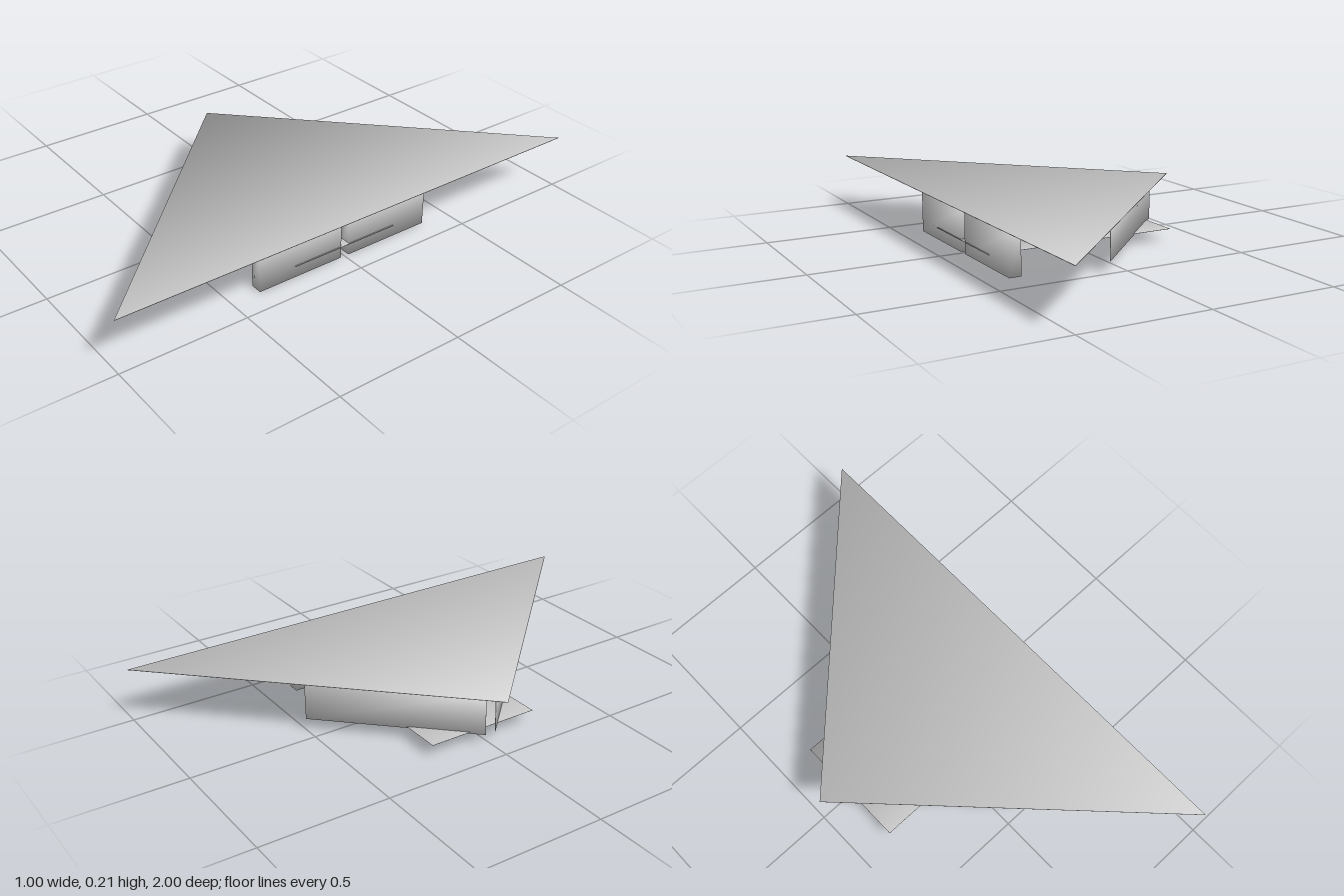
import * as THREE from 'three';

const grey = new THREE.MeshStandardMaterial({ color: 0xcccccc });
grey.name = 'light grey';

// Soft corners: each corner's normal is the average of its distinct face normals
function softCorners(geometry) {
  const g = geometry.index ? geometry.toNonIndexed() : geometry;
  g.computeVertexNormals();
  const pos = g.attributes.position, nor = g.attributes.normal;
  const corners = new Map(), keys = [];
  for (let i = 0; i < pos.count; i++) {
    const key = [pos.getX(i), pos.getY(i), pos.getZ(i)].map(v => Math.round(v * 1e5)).join();
    const n = new THREE.Vector3().fromBufferAttribute(nor, i);
    if (!corners.has(key)) corners.set(key, []);
    const list = corners.get(key);
    if (!list.some(m => m.dot(n) > 0.99)) list.push(n);
    keys.push(key);
  }
  keys.forEach((key, i) => {
    const sum = new THREE.Vector3();
    corners.get(key).forEach(n => sum.add(n));
    sum.normalize();
    nor.setXYZ(i, sum.x, sum.y, sum.z);
  });
  return g;
}

function add(parent, name, geometry, x, y, z, turn = 0) {
  const mesh = new THREE.Mesh(geometry, grey);
  mesh.name = name;
  mesh.position.set(x, y, z);
  mesh.rotation.y = turn;
  parent.add(mesh);
  return mesh;
}

const softBox = (w, h, d) => softCorners(new THREE.BoxGeometry(w, h, d));

export function createModel() {
  const model = new THREE.Group();
  model.name = 'pavilion';

  // Triangular roof slab
  const outline = new THREE.Shape([
    new THREE.Vector2(-0.5, 0), new THREE.Vector2(0.5, -1), new THREE.Vector2(0.5, 1),
  ]);
  const roof = new THREE.ExtrudeGeometry(outline, { depth: 0.002, bevelEnabled: false });
  roof.rotateX(-Math.PI / 2);
  add(model, 'roof', softCorners(roof), 0, 0.211, 0);

  // Thin floor
  add(model, 'floor', softBox(0.775, 0.001, 0.456), 0.022, 0.048, 0);

  for (const side of [1, -1]) {
    const label = side > 0 ? 'front' : 'back';
    // Diagonal wall set in from the slanted roof edge
    add(model, label + 'Wall', softBox(0.672, 0.155, 0.002),
      -0.167, 0.12, side * 0.259, -side * Math.PI / 4);
    // Thick end block on the ground
    add(model, label + 'Block', softBox(0.047, 0.157, 0.362), 0.3815, 0.0785, side * 0.199);
  }

  // Tiny standing figure for scale
  const figure = new THREE.Group();
  figure.name = 'scaleFigure';
  figure.position.set(0.138, 0.0485, 0);
  model.add(figure);
  for (const side of [1, -1]) {
    add(figure, 'leg', new THREE.CylinderGeometry(0.0014, 0.001, 0.013, 6), 0, 0.0065, side * 0.0016);
    add(figure, 'arm', new THREE.CylinderGeometry(0.0008, 0.0007, 0.011, 6), 0, 0.0175, side * 0.0036);
  }
  add(figure, 'torso', new THREE.BoxGeometry(0.0028, 0.0105, 0.0055), 0, 0.018, 0);
  add(figure, 'head', new THREE.SphereGeometry(0.0019, 8, 6), 0, 0.0255, 0);

  return model;
}
